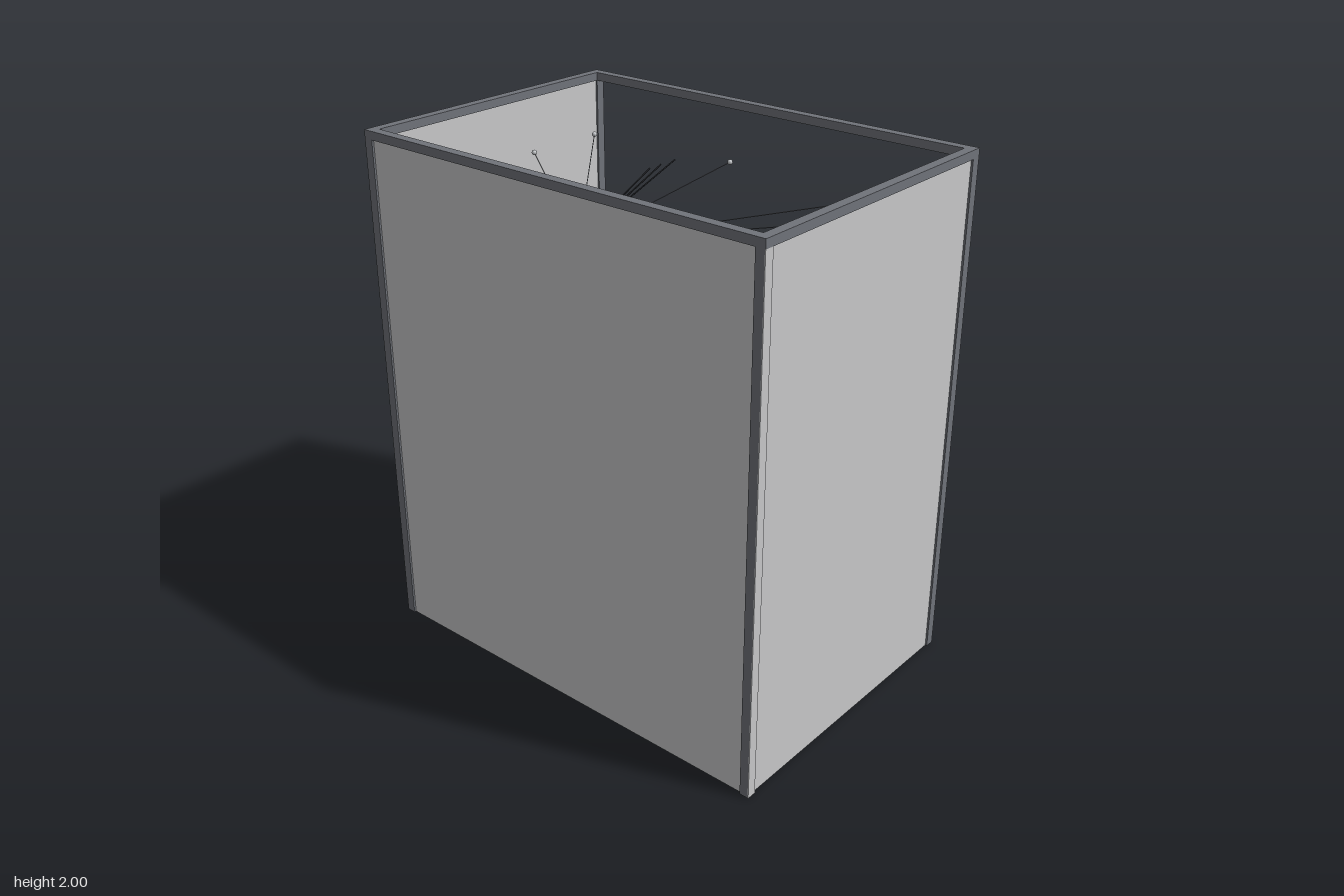
import * as THREE from 'three';

const mat = (name, color) => {
  const m = new THREE.MeshStandardMaterial({ color });
  m.name = name;
  return m;
};

export function createModel() {
  const panel = mat('panel grey', 0xc8c9ca);
  const frame = mat('frame grey', 0x70737a);
  const wood = mat('desk wood', 0xa08e7c);
  const blue = mat('screen blue', 0x586980);
  const light = mat('light grey', 0xc0c3c6);
  const dark = mat('dark grey', 0x3c3f44);

  const root = new THREE.Group();
  root.name = 'workBooth';
  const group = (name) => {
    const g = new THREE.Group();
    g.name = name;
    root.add(g);
    return g;
  };
  const add = (parent, name, geo, material, x, y, z) => {
    const m = new THREE.Mesh(geo, material);
    m.name = name;
    m.position.set(x, y, z);
    parent.add(m);
    return m;
  };
  // box given by its lowest and highest corners
  const box = (parent, name, material, [x0, y0, z0], [x1, y1, z1]) =>
    add(parent, name, new THREE.BoxGeometry(x1 - x0, y1 - y0, z1 - z0), material,
      (x0 + x1) / 2, (y0 + y1) / 2, (z0 + z1) / 2);
  const disc = (parent, name, material, r0, r1, y0, y1, x, z) =>
    add(parent, name, new THREE.CylinderGeometry(r1, r0, y1 - y0, 24), material, x, (y0 + y1) / 2, z);

  // Booth: posts, top rails and three walls, open at the back and top
  const X = 0.875, Z = 0.595, T = 0.037, TOP = 1.968;
  const booth = group('booth');
  for (const s of [-1, 1]) {
    for (const e of [-1, 1]) {
      const trimmed = s === 1 && e === 1 ? 0.003 : 0;
      add(booth, 'post', new THREE.BoxGeometry(T - trimmed, TOP, T), frame,
        s * (X - T / 2) - trimmed / 2, TOP / 2, e * (Z - T / 2));
    }
    add(booth, 'sideRail', new THREE.BoxGeometry(T, 2 - TOP, 2 * (Z - T)), frame, s * (X - T / 2), (2 + TOP) / 2, 0);
    add(booth, 'endRail', new THREE.BoxGeometry(2 * X, 2 - TOP, T), frame, 0, (2 + TOP) / 2, s * (Z - T / 2));
    add(booth, 'sideWall', new THREE.BoxGeometry(0.022, TOP, 2 * (Z - T)), panel, s * (X - T / 2), TOP / 2, 0);
  }
  box(booth, 'frontWall', panel, [-X + T, 0, Z - 0.03], [X - T, TOP, Z - 0.008]);
  box(booth, 'cornerTrim', panel, [X - 0.003, 0, Z - T], [X, TOP, Z]);

  // Desk
  const desk = group('desk');
  box(desk, 'deskTop', wood, [-0.81, 0.76, -0.18], [0.81, 0.79, 0.55]);
  for (const x of [-0.75, 0.75])
    for (const z of [-0.12, 0.505])
      box(desk, 'deskLeg', frame, [x - 0.022, 0, z - 0.022], [x + 0.022, 0.76, z + 0.022]);

  // Monitor, its screen facing the open back
  const monitor = group('monitor');
  box(monitor, 'monitorBody', frame, [-0.322, 0.8, 0.36], [0.322, 1.2, 0.385]);
  box(monitor, 'screen', blue, [-0.322, 0.8, 0.353], [0.322, 1.198, 0.36]);

  // Small wheeled cart under the desk
  const cart = group('cart');
  cart.position.set(0.644, 0, 0.327);
  box(cart, 'cartBody', frame, [-0.11, 0.045, -0.075], [0.11, 0.135, 0.075]);
  for (const s of [-1, 1]) {
    const wheel = add(cart, 'wheel', new THREE.CylinderGeometry(0.036, 0.036, 0.02, 24), frame, s * 0.12, 0.036, 0);
    wheel.rotation.z = Math.PI / 2;
  }
  add(cart, 'caster', new THREE.SphereGeometry(0.014, 16, 12), frame, 0, 0.014, 0.05);
  disc(cart, 'casterStem', frame, 0.008, 0.008, 0.02, 0.045, 0, 0.05);
  disc(cart, 'topPlate', frame, 0.04, 0.04, 0.135, 0.14, 0, 0);
  disc(cart, 'topCap', light, 0.018, 0.018, 0.14, 0.144, 0, 0);

  // Hanging unit: stacked hub, neck and round bulb
  const hx = -0.4, hz = 0.03;
  const hub = group('hangingUnit');
  for (const [name, m, r0, r1, y0, y1] of [
    ['neck', frame, 0.02, 0.02, 1.4, 1.52],
    ['collar', light, 0.03, 0.03, 1.45, 1.465],
    ['hubDisc', frame, 0.05, 0.05, 1.515, 1.535],
    ['hubCap', frame, 0.026, 0.02, 1.535, 1.57],
    ['hubTop', light, 0.015, 0.015, 1.57, 1.58],
  ]) disc(hub, name, m, r0, r1, y0, y1, hx, hz);
  add(hub, 'bulb', new THREE.SphereGeometry(0.045, 24, 16), light, hx, 1.365, hz);

  // Wires fanning out from the hub, most ending in small anchors
  const wires = group('wires');
  const start = new THREE.Vector3(hx, 1.545, hz);
  const wire = (name, material, r, end) =>
    add(wires, name, new THREE.TubeGeometry(new THREE.LineCurve3(start, end), 1, r, 6), material, 0, 0, 0);
  for (const [x, z] of [[-0.63, -0.315], [0, -0.362], [0.63, -0.315], [-0.63, 0.013],
    [0.63, 0.013], [-0.795, 0.345], [0, 0.35], [0.795, 0.345]]) {
    wire('wire', frame, 0.0018, new THREE.Vector3(x, 1.835, z));
    add(wires, 'anchor', new THREE.SphereGeometry(0.01, 12, 8), light, x, 1.835, z);
  }
  for (const z of [-0.052, 0.022, 0.08])
    wire('darkWire', dark, 0.0028, new THREE.Vector3(0, 1.915, z));

  return root;
}
